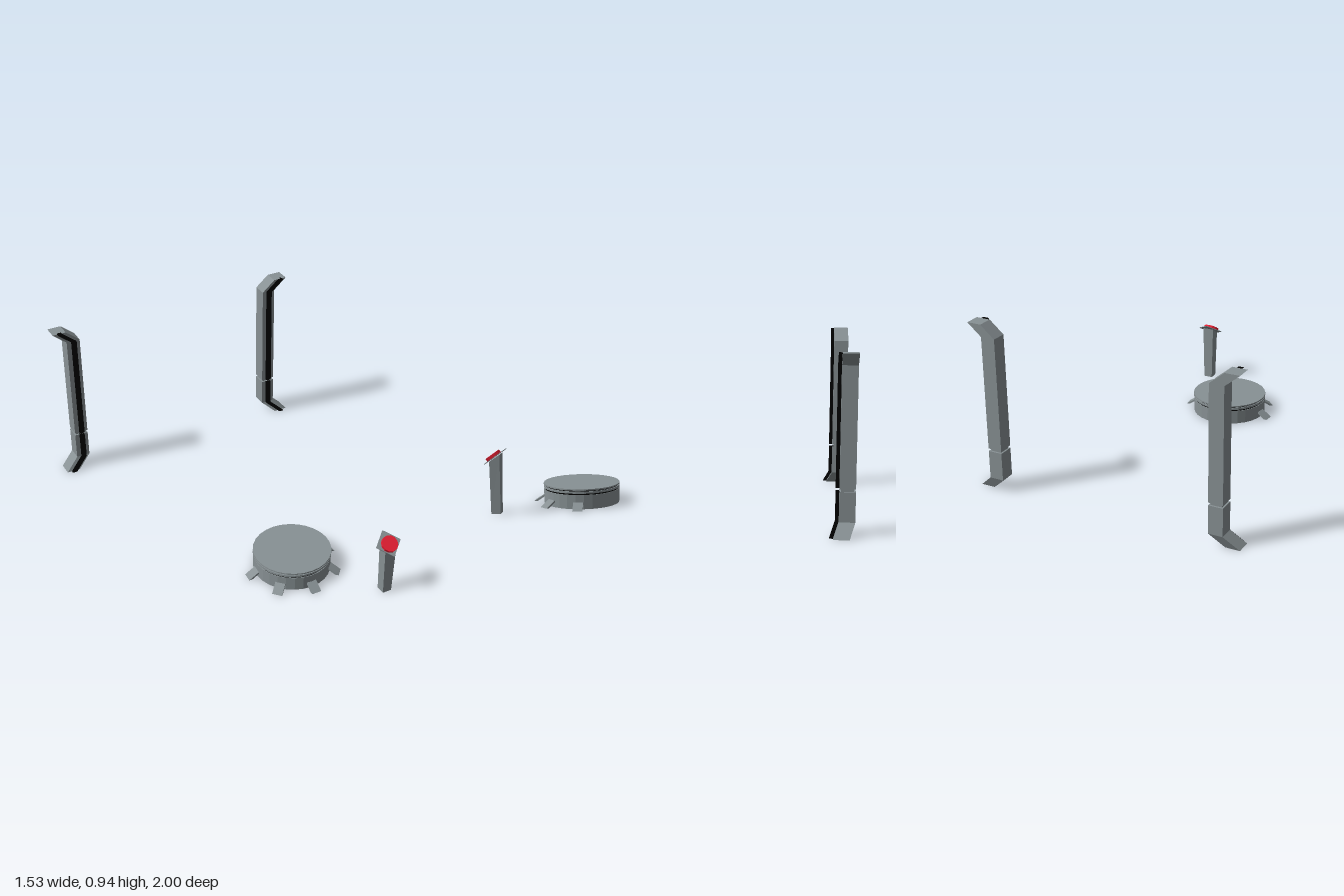
import * as THREE from 'three';

const paint = (color) => new THREE.MeshStandardMaterial({ color, flatShading: true, side: THREE.DoubleSide });

// Four-sided loft through rings [x0, x1, z0, z1, yBack, yFront], bottom to top
function loft(rings) {
  const pos = [];
  const corners = rings.map(([x0, x1, z0, z1, yb, yf = yb]) =>
    [[x0, yf, z1], [x1, yf, z1], [x1, yb, z0], [x0, yb, z0]]);
  const quad = (a, b, c, d) => pos.push(...a, ...b, ...c, ...a, ...c, ...d);
  for (let i = 0; i < corners.length - 1; i++) {
    const lo = corners[i], hi = corners[i + 1];
    for (let k = 0; k < 4; k++) {
      const n = (k + 1) % 4;
      quad(lo[k], lo[n], hi[n], hi[k]);
    }
  }
  const [b, t] = [corners[0], corners[corners.length - 1]];
  quad(b[3], b[2], b[1], b[0]);
  quad(t[0], t[1], t[2], t[3]);
  const geo = new THREE.BufferGeometry();
  geo.setAttribute('position', new THREE.Float32BufferAttribute(pos, 3));
  geo.computeVertexNormals();
  return geo;
}

export function createModel() {
  const grey = paint(0x889194), black = paint(0x000000), red = paint(0xe82034);
  const model = new THREE.Group();
  model.name = 'padAndPillars';

  const add = (parent, name, geo, mat) => {
    const mesh = new THREE.Mesh(geo, mat);
    mesh.name = name;
    parent.add(mesh);
    return mesh;
  };

  // Two bent pillars: [y, outward shift, forward shift] along each segment
  const lower = [[0, 0.08, 0.03], [0.072, 0, 0], [0.229, 0, 0]];
  const upper = [[0.244, 0, 0], [0.873, 0, 0], [0.94, 0.08, 0]];
  for (const side of [1, -1]) {
    const pillar = new THREE.Group();
    pillar.name = side > 0 ? 'leftPillar' : 'rightPillar';
    const bar = (name, path, x0, x1, z0, z1, mat) => add(pillar, name, loft(path.map(([y, dx, dz]) => {
      const a = side * (x0 + dx), b = side * (x1 + dx);
      return [Math.min(a, b), Math.max(a, b), z0 + dz, z1 + dz, y];
    })), mat);
    for (const [label, path] of [['lower', lower], ['upper', upper]]) {
      bar(label + 'Segment', path, 0.605, 0.685, -1, -0.917, grey);
      bar(label + 'Strip', path, 0.63, 0.658, -0.93, -0.899, black);
    }
    bar('jointCore', [[0.22, 0, 0], [0.255, 0, 0]], 0.614, 0.676, -0.99, -0.926, grey);
    model.add(pillar);
  }

  // Round platform, open underneath
  const platform = new THREE.Group();
  platform.name = 'platform';
  platform.position.z = 0.515;
  const lathe = (name, points, mat) => add(platform, name,
    new THREE.LatheGeometry(points.map(([r, y]) => new THREE.Vector2(r, y)), 28), mat);
  lathe('platformWall', [[0.214, 0], [0.214, 0.08], [0.208, 0.08]], grey);
  lathe('platformGroove', [[0.21, 0.078], [0.21, 0.108]], black);
  lathe('platformRing', [[0.208, 0.088], [0.216, 0.088], [0.216, 0.1], [0.208, 0.1]], grey);
  lathe('platformTop', [[0.208, 0.105], [0.216, 0.105], [0.216, 0.113], [0, 0.113]], grey);
  lathe('platformUnderside', [[0, 0.075], [0.212, 0.075]], grey);

  // Five sloping slab feet round the front half
  for (const degrees of [-94, -47, 0, 47, 94]) {
    const foot = add(platform, 'platformFoot',
      loft([[-0.028, 0.028, 0.252, 0.27, 0], [-0.028, 0.028, 0.195, 0.213, 0.038]]), grey);
    foot.rotation.y = THREE.MathUtils.degToRad(degrees);
  }
  model.add(platform);

  // Button stand with a tilted diamond plate
  const stand = new THREE.Group();
  stand.name = 'buttonStand';
  stand.position.set(0.338, 0, 0.933);
  add(stand, 'standColumn',
    loft([[-0.026, 0.026, -0.03, 0.022, 0], [-0.034, 0.034, -0.032, 0.026, 0.33, 0.29]]), grey);
  const head = new THREE.Group();
  head.name = 'buttonHead';
  head.position.set(0, 0.314, 0);
  head.rotation.x = Math.atan2(0.085, 0.118);
  add(head, 'buttonPlate', new THREE.CylinderGeometry(0.077, 0.077, 0.004, 4), grey);
  const button = add(head, 'button', new THREE.CylinderGeometry(0.046, 0.046, 0.02, 12), red);
  button.position.set(0, 0.009, 0.006);
  stand.add(head);
  model.add(stand);

  return model;
}
